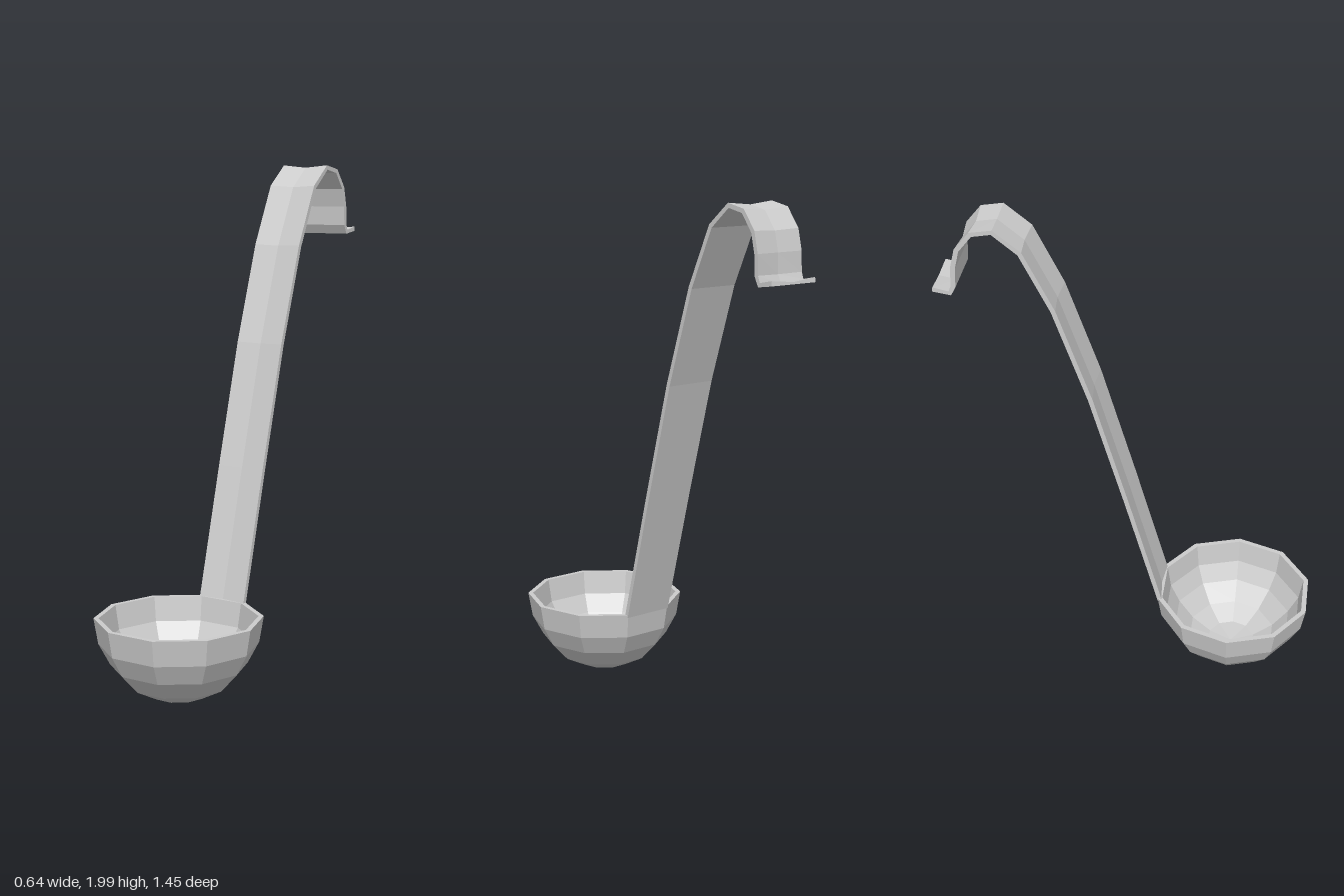
import * as THREE from 'three';

const material = new THREE.MeshStandardMaterial({ color: 0xcccccc, flatShading: true });

// Ten-sided bowl with wall thickness: outside from bottom to rim, then back down the inside
function makeBowl() {
  const profile = [
    [0, 0.005], [0.105, 0.02], [0.192, 0.065], [0.26, 0.14], [0.303, 0.22], [0.32, 0.32],
    [0.3, 0.32], [0.284, 0.225], [0.243, 0.152], [0.178, 0.083], [0.097, 0.04], [0, 0.026],
  ].map(([r, y]) => new THREE.Vector2(r, y));
  const bowl = new THREE.Mesh(new THREE.LatheGeometry(profile, 10, Math.PI / 2), material);
  bowl.name = 'bowl';
  bowl.position.z = 0.418;
  return bowl;
}

// Flat strip swept along a side path, its outer face slightly dished along the middle
function makeHandle() {
  const path = [ // z, y
    [0.123, 0.312], [-0.015, 0.82], [-0.15, 1.3], [-0.28, 1.68], [-0.393, 1.91],
    [-0.49, 1.988], [-0.568, 1.973], [-0.622, 1.905], [-0.64, 1.83], [-0.643, 1.755],
    [-0.657, 1.725], [-0.722, 1.736],
  ].map(([z, y]) => new THREE.Vector2(z, y));
  const section = [[0.102, 0.009], [0, -0.001], [-0.102, 0.009], [-0.102, -0.009], [0.102, -0.009]];
  const n = section.length;
  const last = path.length - 1;
  const positions = [];
  const index = [];

  path.forEach((p, i) => {
    const before = p.clone().sub(path[Math.max(i - 1, 0)]).normalize();
    const after = path[Math.min(i + 1, last)].clone().sub(p).normalize();
    const t = before.add(after).normalize();
    for (const [x, d] of section) positions.push(x, p.y - t.x * d, p.x + t.y * d);
    if (i === last) return;
    for (let j = 0; j < n; j++) {
      const a = i * n + j;
      const b = i * n + (j + 1) % n;
      index.push(a, a + n, b + n, a, b + n, b);
    }
  });

  // End caps, fanned from the dished middle
  for (let k = 2; k <= n - 1; k++) {
    const e = last * n;
    const next = (k + 1) % n;
    index.push(1, k, next, e + 1, e + next, e + k);
  }

  const geometry = new THREE.BufferGeometry();
  geometry.setAttribute('position', new THREE.Float32BufferAttribute(positions, 3));
  geometry.setIndex(index);
  geometry.computeVertexNormals();
  const handle = new THREE.Mesh(geometry, material);
  handle.name = 'hookedHandle';
  return handle;
}

export function createModel() {
  const ladle = new THREE.Group();
  ladle.name = 'ladle';
  ladle.add(makeBowl(), makeHandle());
  return ladle;
}
